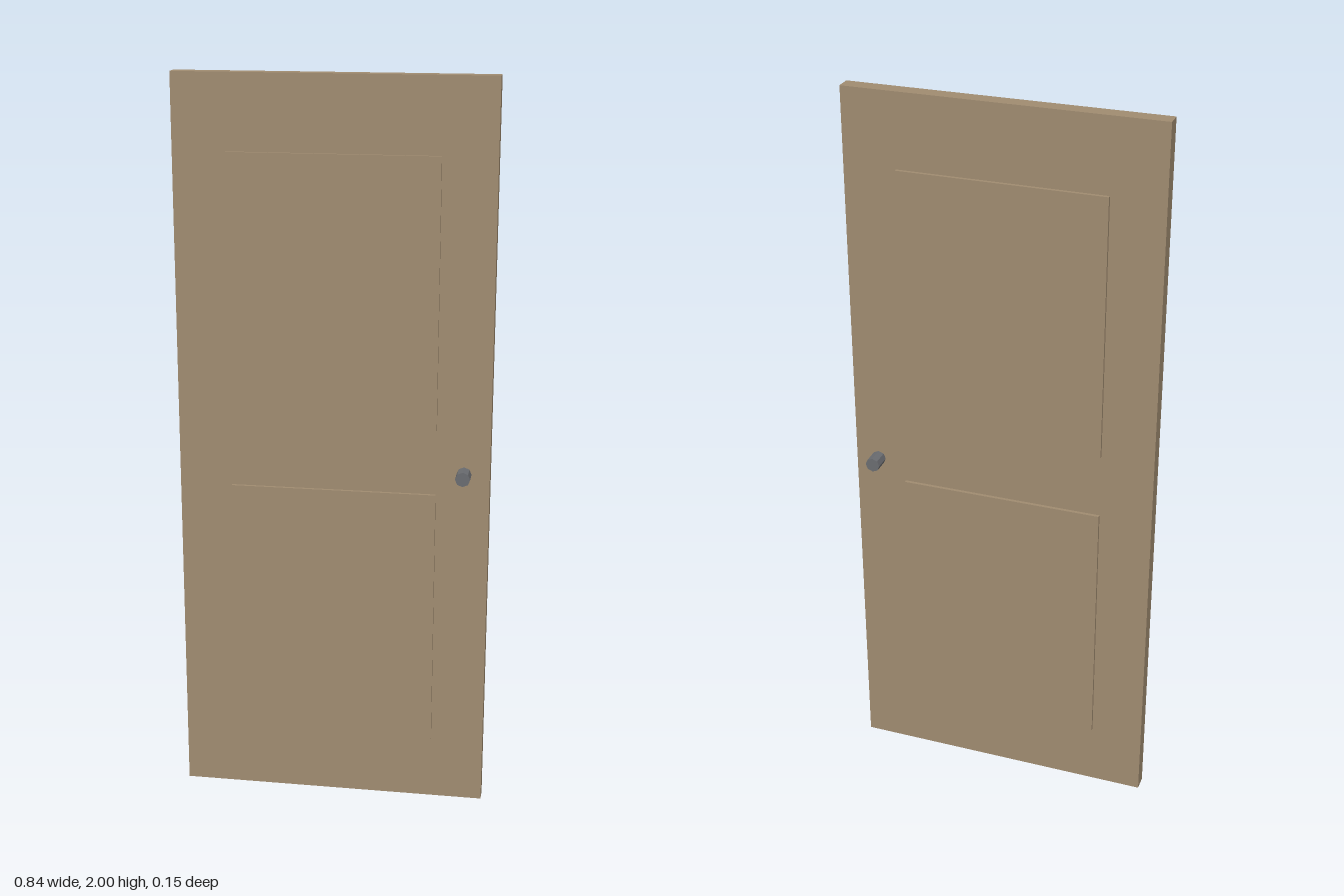
import * as THREE from 'three';

export function createModel() {
  const wood = new THREE.MeshStandardMaterial({ color: 0x9f8b70 });
  wood.name = 'wood';
  const metal = new THREE.MeshStandardMaterial({ color: 0x6a6c70, flatShading: true });
  metal.name = 'dark metal';

  const door = new THREE.Group();
  door.name = 'door';

  const add = (name, geometry, material, x, y, z) => {
    const mesh = new THREE.Mesh(geometry, material);
    mesh.name = name;
    mesh.position.set(x, y, z);
    door.add(mesh);
  };

  // Slab
  add('slab', new THREE.BoxGeometry(0.842, 2, 0.042), wood, 0, 1, 0);

  // Raised panels and knobs, mirrored on both faces
  const panel = new THREE.BoxGeometry(0.556, 0.72, 0.009);
  const knob = new THREE.CylinderGeometry(0.02, 0.02, 0.046, 8).rotateX(Math.PI / 2);
  for (const [face, side] of [['front', 1], ['back', -1]]) {
    add(face + 'LowerPanel', panel, wood, 0, 0.54, side * 0.0255);
    add(face + 'UpperPanel', panel, wood, 0, 1.44, side * 0.0255);
    // Knobs stand slightly clear of the slab
    add(face + 'Knob', knob, metal, 0.353, 0.963, side * 0.052);
  }

  return door;
}
